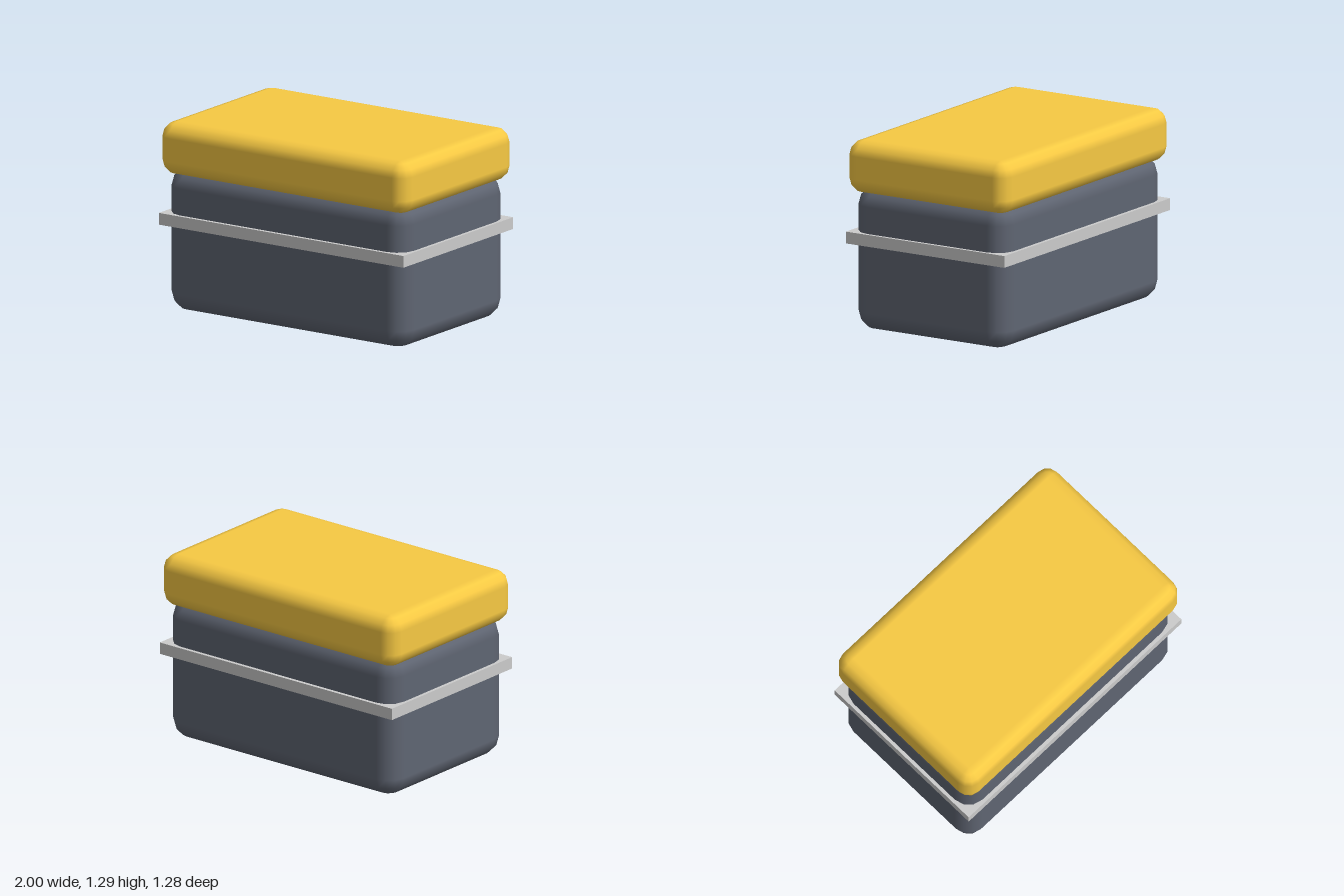
import * as THREE from 'three';

// Box with edges rounded in equal steps: horizontal rings of four corner arcs, closed by caps
function roundedBlock(w, h, d, r, steps = 3) {
  const pos = [], nor = [], idx = [];
  const ringSize = 4 * (steps + 1);
  const add = (cx, cy, cz, lat, lon) => {
    const n = [Math.cos(lat) * Math.cos(lon), Math.sin(lat), Math.cos(lat) * Math.sin(lon)];
    nor.push(...n);
    pos.push(cx + r * n[0], cy + r * n[1], cz + r * n[2]);
  };
  for (const sy of [-1, 1]) {
    for (let i = 0; i <= steps; i++) {
      const lat = (Math.PI / 2) * (sy < 0 ? i / steps - 1 : i / steps);
      for (let q = 0; q < 4; q++) {
        const sx = q === 0 || q === 3 ? 1 : -1, sz = q < 2 ? 1 : -1;
        for (let j = 0; j <= steps; j++) {
          const lon = (Math.PI / 2) * (q + j / steps);
          add(sx * (w / 2 - r), sy * (h / 2 - r), sz * (d / 2 - r), lat, lon);
        }
      }
    }
  }
  const rings = 2 * (steps + 1);
  for (let i = 0; i < rings - 1; i++) {
    for (let j = 0; j < ringSize; j++) {
      const a = i * ringSize + j, b = i * ringSize + (j + 1) % ringSize;
      idx.push(a, a + ringSize, b, b, a + ringSize, b + ringSize);
    }
  }
  // Flat bottom and top, spanning the four corner points of the end rings
  const k = steps + 1, t = (rings - 1) * ringSize;
  idx.push(0, k, 2 * k, 0, 2 * k, 3 * k);
  idx.push(t, t + 2 * k, t + k, t, t + 3 * k, t + 2 * k);
  const g = new THREE.BufferGeometry();
  g.setAttribute('position', new THREE.Float32BufferAttribute(pos, 3));
  g.setAttribute('normal', new THREE.Float32BufferAttribute(nor, 3));
  g.setIndex(idx);
  return g;
}

export function createModel() {
  const model = new THREE.Group();
  const addPart = (name, geometry, color, y) => {
    const mesh = new THREE.Mesh(geometry, new THREE.MeshStandardMaterial({ color }));
    mesh.name = name;
    mesh.position.y = y;
    model.add(mesh);
  };

  // Dark container, its top tucked into the lid
  addPart('body', roundedBlock(1.93, 0.98, 1.206, 0.13), 0x5f6572, 0.49);
  // Sharp-edged band around the container
  addPart('band', new THREE.BoxGeometry(1.976, 0.08, 1.256), 0xcccccc, 0.63);
  // Overhanging yellow lid
  addPart('lid', roundedBlock(2, 0.358, 1.276, 0.1), 0xf7c943, 1.111);

  return model;
}
